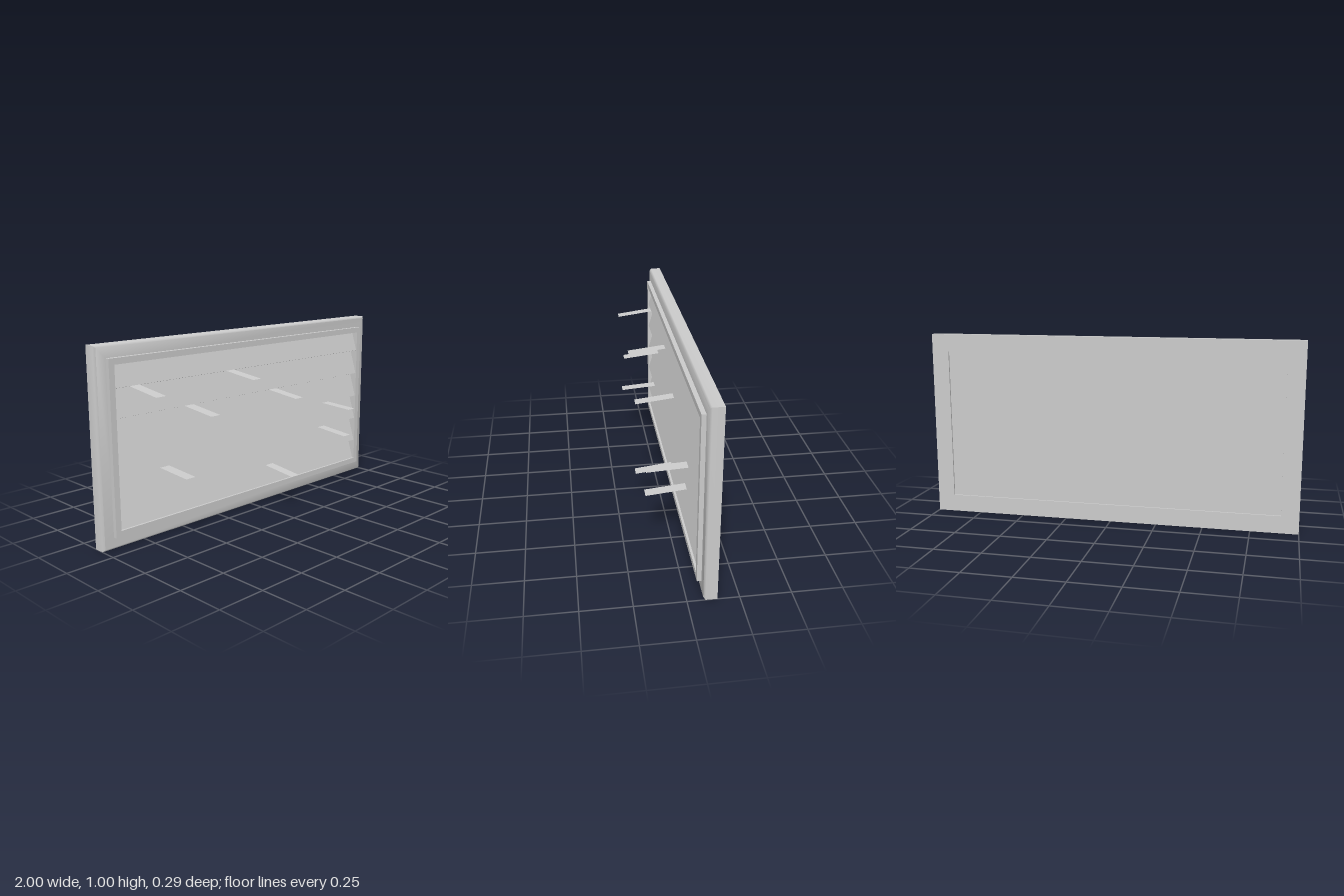
import * as THREE from 'three';
import { toCreasedNormals } from 'three/addons/utils/BufferGeometryUtils.js';

const material = new THREE.MeshStandardMaterial({ color: 0xcccccc });
const sheetMaterial = new THREE.MeshStandardMaterial({ color: 0xcccccc, side: THREE.DoubleSide });

// Sweeps a closed [inset, z] profile around a 2 x 1 rectangle with mitred corners.
function frameGeometry(profile) {
  const corners = [[-1, -1], [1, -1], [1, 1], [-1, 1]];
  const positions = [], index = [], n = profile.length;
  for (const [sx, sy] of corners)
    for (const [inset, z] of profile)
      positions.push(sx * (1 - inset), 0.5 + sy * (0.5 - inset), z);
  for (let k = 0; k < 4; k++)
    for (let j = 0; j < n; j++) {
      const next = ((k + 1) % 4) * n, up = (j + 1) % n;
      const a = k * n + j, b = next + j, c = next + up, d = k * n + up;
      index.push(a, b, c, a, c, d);
    }
  const geometry = new THREE.BufferGeometry();
  geometry.setAttribute('position', new THREE.Float32BufferAttribute(positions, 3));
  geometry.setIndex(index);
  return toCreasedNormals(geometry, 0.85);
}

export function createModel() {
  const model = new THREE.Group();
  model.name = 'ventGrille';
  const add = (name, geometry, x = 0, y = 0, z = 0, mat = material) => {
    const mesh = new THREE.Mesh(geometry, mat);
    mesh.name = name;
    mesh.position.set(x, y, z);
    model.add(mesh);
    return mesh;
  };

  // Outer frame with a chamfered front edge, and the raised rim around the opening
  add('outerFrame', frameGeometry([
    [0, -0.144], [0, -0.088], [0.01, -0.078], [0.08, -0.078], [0.08, -0.1], [0.093, -0.1], [0.093, -0.144],
  ]));
  add('innerRim', frameGeometry([[0.062, -0.1], [0.062, -0.056], [0.093, -0.056], [0.093, -0.1]]));

  // Closing panel, slightly recessed at the back
  add('backPanel', new THREE.BoxGeometry(1.83, 0.83, 0.008), 0, 0.5, -0.131);

  // Six tilted slats, lower edge forward
  const pitch = 0.1455, slatBase = 0.068, slatDepth = 0.045, thickness = 0.008;
  const tilt = Math.atan2(slatDepth, pitch);
  const slatGeometry = new THREE.BoxGeometry(1.82, Math.hypot(pitch, slatDepth), thickness);
  slatGeometry.translate(0, 0, -thickness / 2);
  for (let i = 0; i < 6; i++) {
    const slat = add('slat', slatGeometry, 0, slatBase + (i + 0.5) * pitch, -0.06 - slatDepth / 2);
    slat.rotation.x = -tilt;
  }

  // Thin ribbons blowing out from the slat edges: [x, slat number, drop]
  const ribbons = [
    [-0.796, 5, 0.027], [-0.176, 5, 0.024],
    [-0.464, 4, 0.024], [0.149, 4, 0.024],
    [0.614, 3, 0.012],
    [-0.631, 2, 0.016], [0.577, 2, 0.021],
    [0.123, 1, 0.026],
  ];
  const reach = 0.204;
  for (const [x, slat, drop] of ribbons) {
    const geometry = new THREE.PlaneGeometry(0.058, Math.hypot(reach, drop));
    geometry.rotateX(-Math.PI / 2 + Math.atan2(drop, reach));
    add('ribbon', geometry, x, slatBase + slat * pitch - drop / 2, -0.06 + reach / 2, sheetMaterial);
  }
  return model;
}
